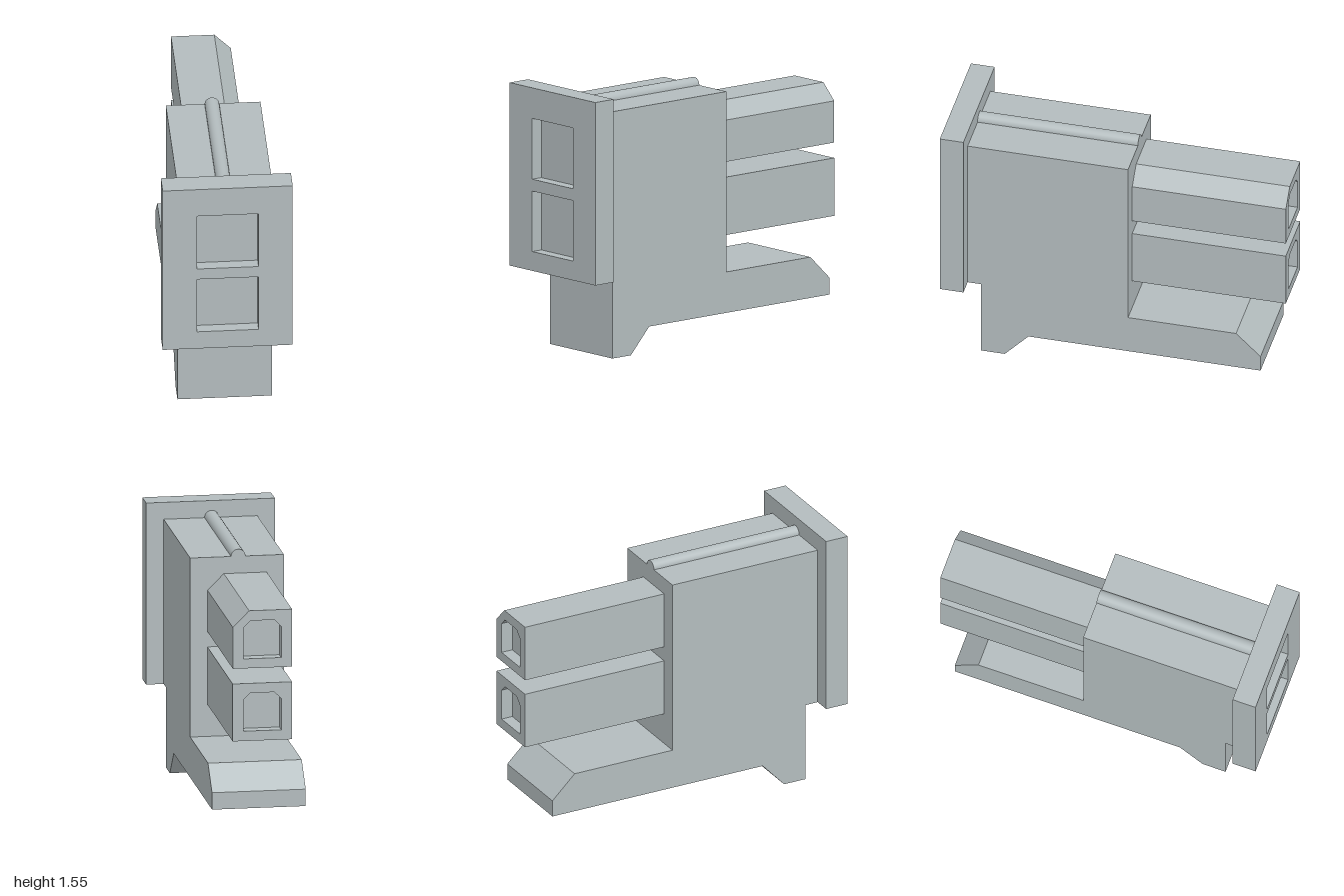
import * as THREE from 'three';

const grey = new THREE.MeshStandardMaterial({ color: 0xb3bcbe });
grey.name = 'light grey plastic';

const outline = (pts, Type = THREE.Shape) => new Type(pts.map(([x, y]) => new THREE.Vector2(x, y)));
const rect = (x, y0, y1) => [[-x, y0], [x, y0], [x, y1], [-x, y1]];
const extrude = (shape, depth) =>
  new THREE.ExtrudeGeometry(shape, { depth, bevelEnabled: false, curveSegments: 12 });

export function createModel() {
  const model = new THREE.Group();
  model.name = 'connectorHousing';
  const add = (name, geometry, parent = model) => {
    const mesh = new THREE.Mesh(geometry, grey);
    mesh.name = name;
    parent.add(mesh);
    return mesh;
  };

  // A block along z: a solid part, and a part pierced by blind pockets
  const pocketBlock = (name, pts, holes, z0, z1, pocketAtFront) => {
    const group = new THREE.Group();
    group.name = name;
    const depth = 0.07;
    const pierced = outline(pts);
    holes.forEach((h) => pierced.holes.push(outline(h, THREE.Path)));
    const frame = add(name + 'Rim', extrude(pierced, depth), group);
    const core = add(name + 'Core', extrude(outline(pts), z1 - z0 - depth), group);
    frame.position.z = pocketAtFront ? z1 - depth : z0;
    core.position.z = pocketAtFront ? z0 : z0 + depth;
    model.add(group);
  };

  // Body with lower tongue and front hook, drawn as a (z, y) side profile
  const side = outline([
    [0.86, 1.45], [-0.09, 1.45], [-0.09, 0.39], [-0.73, 0.39], [-0.875, 0.25], [-0.875, 0.15],
    [0.5, 0.15], [0.64, 0], [0.78, 0], [0.78, 0.475], [0.86, 0.475],
  ]);
  const halfWidth = 0.273;
  add('body', extrude(side, halfWidth * 2).translate(0, 0, -halfWidth).rotateY(-Math.PI / 2));

  // Front flange with two square pockets
  pocketBlock('frontFlange', rect(0.375, 0.475, 1.55),
    [rect(0.178, 1.013, 1.37), rect(0.178, 0.588, 0.943)], 0.86, 1, true);

  // Rear prongs; the upper one has a chamfered corner on its left
  const socket = (y) => [[-0.11, y], [0.11, y], [0.11, y + 0.185], [0.07, y + 0.225],
    [-0.07, y + 0.225], [-0.11, y + 0.185]];
  pocketBlock('upperProng',
    [[-0.173, 1.01], [0.172, 1.01], [0.172, 1.255], [0.077, 1.35], [-0.173, 1.35]],
    [socket(1.066)], -1, -0.09, false);
  pocketBlock('lowerProng', rect(0.173, 0.58, 0.92), [socket(0.638)], -1, -0.09, false);

  // Round ridge along the top
  const ridge = add('topRidge', new THREE.CylinderGeometry(0.042, 0.042, 0.95, 24).rotateX(Math.PI / 2));
  ridge.position.set(-0.007, 1.45, 0.385);

  return model;
}
